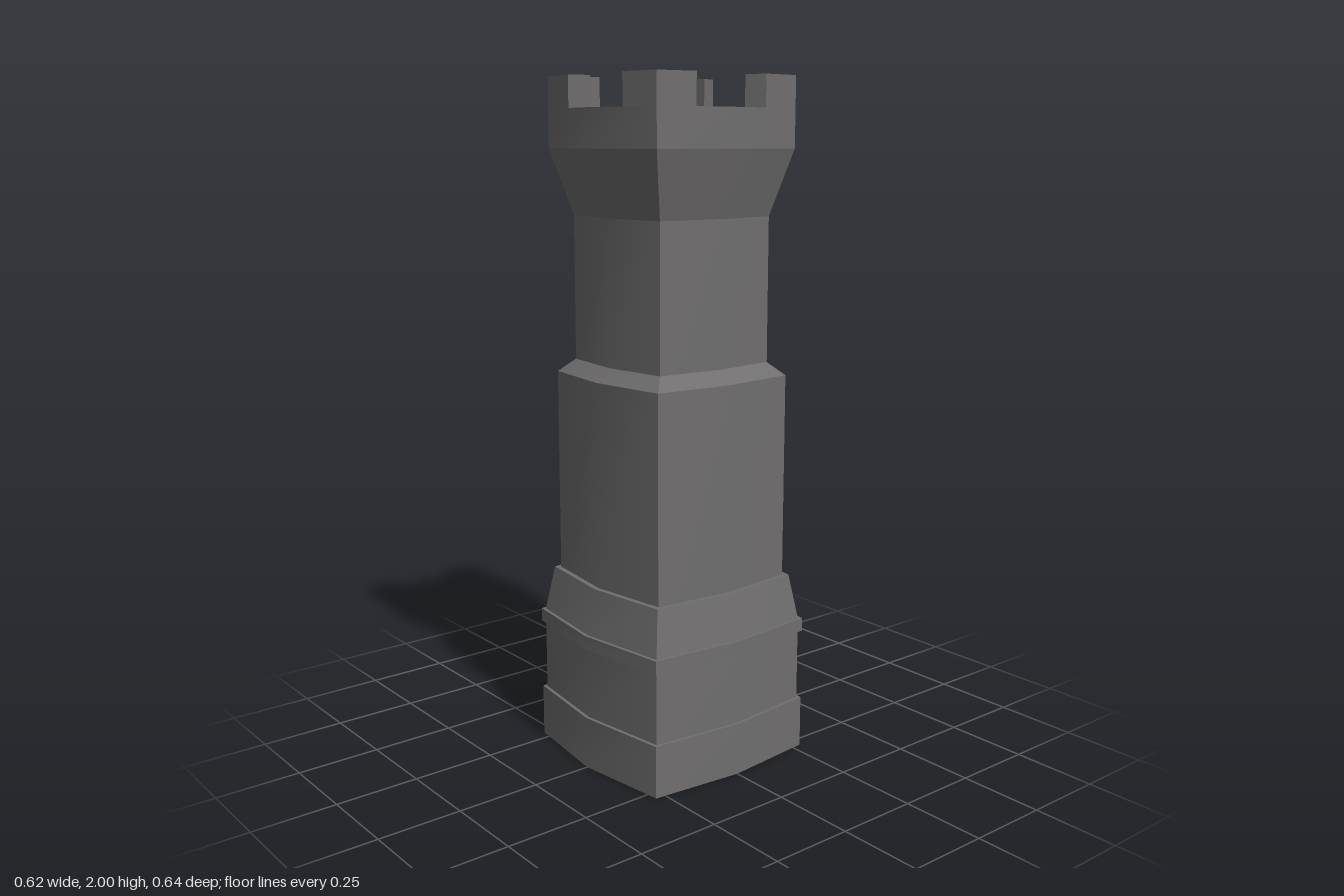
import * as THREE from 'three';
import { mergeGeometries, toCreasedNormals } from 'three/addons/utils/BufferGeometryUtils.js';

// Bulged square cross-section (x, z) for size 1: four corners and four shallow mid points
const RING = [
  [1, 0], [0.91, 0.9], [0, 1.02], [-0.91, 0.9],
  [-1, 0], [-0.91, -0.9], [0, -1.02], [0.91, -0.9],
];

// One band of faces between two rings; smooth over the mid points, sharp at the corners
function band([s0, y0], [s1, y1]) {
  const pos = [];
  RING.forEach((p, i) => {
    const q = RING[(i + 1) % RING.length];
    const a = [p[0] * s0, y0, p[1] * s0], b = [q[0] * s0, y0, q[1] * s0];
    const c = [q[0] * s1, y1, q[1] * s1], d = [p[0] * s1, y1, p[1] * s1];
    if (s0 > 0) pos.push(...a, ...d, ...b);
    if (s1 > 0) pos.push(...b, ...d, ...c);
  });
  const g = new THREE.BufferGeometry();
  g.setAttribute('position', new THREE.Float32BufferAttribute(pos, 3));
  return toCreasedNormals(g, Math.PI / 6);
}

// Stacks bands along a profile of [size, height] points
function stack(profile) {
  return mergeGeometries(profile.slice(1).map((p, i) => band(profile[i], p)));
}

export function createModel() {
  const group = new THREE.Group();
  group.name = 'castleTower';
  const stone = new THREE.MeshStandardMaterial({ color: 0x706e6e });
  stone.name = 'dark grey stone';

  const OUTER = 0.275, INNER = 0.216, RIM = 1.91, TOP = 2;

  const parts = {
    plinth: [[0, 0], [0.312, 0], [0.312, 0.156], [0.302, 0.156]],
    baseWall: [[0.302, 0.156], [0.302, 0.37]],
    baseMoulding: [[0.302, 0.37], [0.312, 0.37], [0.312, 0.41], [0.302, 0.41]],
    slopedCollar: [[0.302, 0.41], [0.278, 0.546], [0.263, 0.546]],
    lowerShaft: [[0.263, 0.546], [0.263, 1.152], [0.22, 1.19]],
    upperShaft: [[0.22, 1.19], [0.22, 1.61]],
    flare: [[0.22, 1.61], [OUTER, 1.8]],
    parapet: [[OUTER, 1.8], [OUTER, RIM], [INNER, RIM], [INNER, 1.8]],
    roofFloor: [[INNER, 1.8], [0, 1.8]],
  };
  for (const [name, profile] of Object.entries(parts)) {
    const mesh = new THREE.Mesh(stack(profile), stone);
    mesh.name = name;
    group.add(mesh);
  }

  // Angled merlon on each corner, reaching halfway to the neighbouring mid points
  const merlons = new THREE.Group();
  merlons.name = 'merlons';
  for (const i of [1, 3, 5, 7]) {
    const c = new THREE.Vector2(RING[i][0], -RING[i][1]);
    const half = (j) => new THREE.Vector2(RING[j][0], -RING[j][1]).lerp(c, 0.5);
    const line = [half(i - 1), c, half((i + 1) % 8)];
    const shape = new THREE.Shape([
      ...line.map((p) => p.clone().multiplyScalar(OUTER)),
      ...line.map((p) => p.clone().multiplyScalar(INNER)).reverse(),
    ]);
    const geo = new THREE.ExtrudeGeometry(shape, { depth: TOP - RIM, bevelEnabled: false });
    geo.rotateX(-Math.PI / 2).translate(0, RIM, 0);
    const mesh = new THREE.Mesh(geo, stone);
    mesh.name = 'merlon';
    merlons.add(mesh);
  }
  group.add(merlons);
  return group;
}
